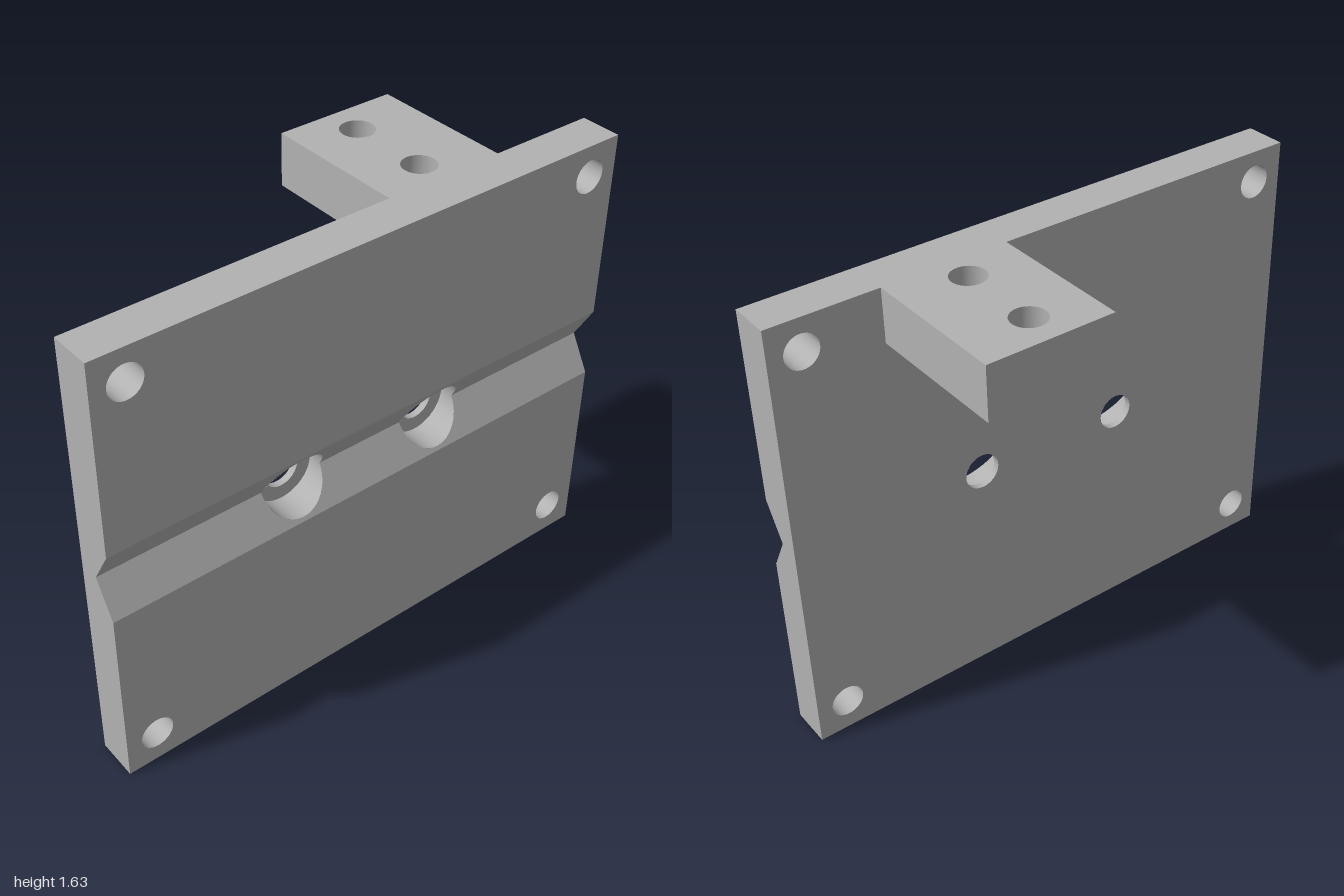
import * as THREE from 'three';

// Plate, groove and bracket dimensions
const H = 1.635, FRONT = 0.34, BACK = 0.19, TAIL = -0.34;
const MID = 0.82, GROOVE = 0.13, APEX = 0.265, FLOOR = 0.215;
const BX0 = 0.16, BX1 = 0.61, BY = 1.445;
const R_CORNER = 0.06, R_BOLT = 0.065, R_SINK = 0.117, SEG = 48;
const boltX = [-0.28, 0.29];
const lowCorners = [[-0.885, 0.117], [0.885, 0.117]];
const highCorners = [[-0.885, 1.522], [0.885, 1.522]];
const bracketHoles = [[0.37, -0.21], [0.37, 0.09]];

// Depth of the front surface at height y, including the V groove
const frontZ = (y) => APEX + (FRONT - APEX) * Math.min(1, Math.abs(y - MID) / GROOVE);

const outline = (pts) => new THREE.Shape(pts.map(([x, y]) => new THREE.Vector2(x, y)));
const rect = (x0, y0, x1, y1) => outline([[x0, y0], [x1, y0], [x1, y1], [x0, y1]]);

function drill(shape, centres, r) {
  for (const [x, y] of centres) {
    const hole = new THREE.Path();
    hole.absarc(x, y, r, 0, Math.PI * 2, true);
    shape.holes.push(hole);
  }
  return shape;
}

export function createModel() {
  const model = new THREE.Group();
  const grey = new THREE.MeshStandardMaterial({ color: 0xb2b2b2, side: THREE.DoubleSide });
  grey.name = 'machined grey';

  // Put a geometry's vertices in place by a rule, optionally reversing its faces
  function add(name, geometry, place, flip = false) {
    const p = geometry.attributes.position;
    for (let i = 0; i < p.count; i++) p.setXYZ(i, ...place(p.getX(i), p.getY(i)));
    if (flip) geometry.index.array.reverse();
    geometry.computeVertexNormals();
    const mesh = new THREE.Mesh(geometry, grey);
    mesh.name = name;
    model.add(mesh);
  }
  const sheet = (name, shape, place, flip) =>
    add(name, new THREE.ShapeGeometry(shape, SEG), place, flip);

  // Inward-facing hole wall; place receives two plan coordinates and the end (0 or 1)
  function bore(name, [cx, cy], r, place) {
    add(name, new THREE.PlaneGeometry(1, 1, SEG, 1), (u, v) => {
      const a = -u * Math.PI * 2;
      return place(cx + r * Math.cos(a), cy + r * Math.sin(a), v + 0.5);
    });
  }

  // Front flats above and below the groove
  const onFront = (x, y) => [x, y, frontZ(y)];
  sheet('lowerFrontFace', drill(rect(-1, 0, 1, MID - GROOVE), lowCorners, R_CORNER), onFront);
  sheet('upperFrontFace', drill(rect(-1, MID + GROOVE, 1, H), highCorners, R_CORNER), onFront);

  // Sloped groove faces, cut away by the counterbores
  for (const s of [-1, 1]) {
    const slope = new THREE.Shape();
    slope.moveTo(-1, MID + s * GROOVE);
    slope.lineTo(1, MID + s * GROOVE);
    slope.lineTo(1, MID);
    for (const x of [...boltX].reverse()) {
      slope.lineTo(x + R_SINK, MID);
      slope.absarc(x, MID, R_SINK, 0, s * Math.PI, s < 0);
    }
    slope.lineTo(-1, MID);
    sheet(s < 0 ? 'lowerGrooveFace' : 'upperGrooveFace', slope, onFront);
  }

  // Counterbored bolt holes
  for (const x of boltX) {
    const c = [x, MID];
    bore('counterboreWall', c, R_SINK,
      (px, py, t) => [px, py, t ? frontZ(py) : FLOOR]);
    const ring = new THREE.Shape();
    ring.absarc(x, MID, R_SINK, 0, Math.PI * 2);
    sheet('counterboreFloor', drill(ring, [c], R_BOLT), (px, py) => [px, py, FLOOR]);
    bore('boltHole', c, R_BOLT, (px, py, t) => [px, py, t ? FLOOR : BACK]);
  }

  // Corner mounting holes
  const corners = [...lowCorners, ...highCorners];
  for (const c of corners) {
    bore('cornerHole', c, R_CORNER, (x, y, t) => [x, y, t ? FRONT : BACK]);
  }

  // Back face, notched where the bracket joins
  const back = outline([[-1, 0], [1, 0], [1, H], [BX1, H], [BX1, BY], [BX0, BY], [BX0, H], [-1, H]]);
  drill(back, corners, R_CORNER);
  drill(back, boltX.map((x) => [x, MID]), R_BOLT);
  sheet('backFace', back, (x, y) => [x, y, BACK], true);

  // Plate ends with the groove profile, drawn in z and y
  for (const x of [-1, 1]) {
    const end = outline([[BACK, 0], [FRONT, 0], [FRONT, MID - GROOVE], [APEX, MID],
      [FRONT, MID + GROOVE], [FRONT, H], [BACK, H]]);
    sheet(x < 0 ? 'rightEnd' : 'leftEnd', end, (z, y) => [x, y, z], x > 0);
  }

  // Top shared by plate and bracket, and the undersides, drawn in x and z
  const top = outline([[-1, FRONT], [1, FRONT], [1, BACK], [BX1, BACK], [BX1, TAIL],
    [BX0, TAIL], [BX0, BACK], [-1, BACK]]);
  sheet('topFace', drill(top, bracketHoles, R_CORNER), (x, z) => [x, H, z], true);
  sheet('plateUnderside', rect(-1, BACK, 1, FRONT), (x, z) => [x, 0, z]);
  sheet('bracketUnderside', drill(rect(BX0, TAIL, BX1, BACK), bracketHoles, R_CORNER),
    (x, z) => [x, BY, z]);

  // Bracket sides, rear and vertical holes
  for (const x of [BX0, BX1]) {
    sheet('bracketSide', rect(TAIL, BY, BACK, H), (z, y) => [x, y, z], x === BX1);
  }
  sheet('bracketRear', rect(BX0, BY, BX1, H), (x, y) => [x, y, TAIL], true);
  for (const c of bracketHoles) {
    bore('bracketHole', c, R_CORNER, (x, z, t) => [x, t ? BY : H, z]);
  }
  return model;
}
